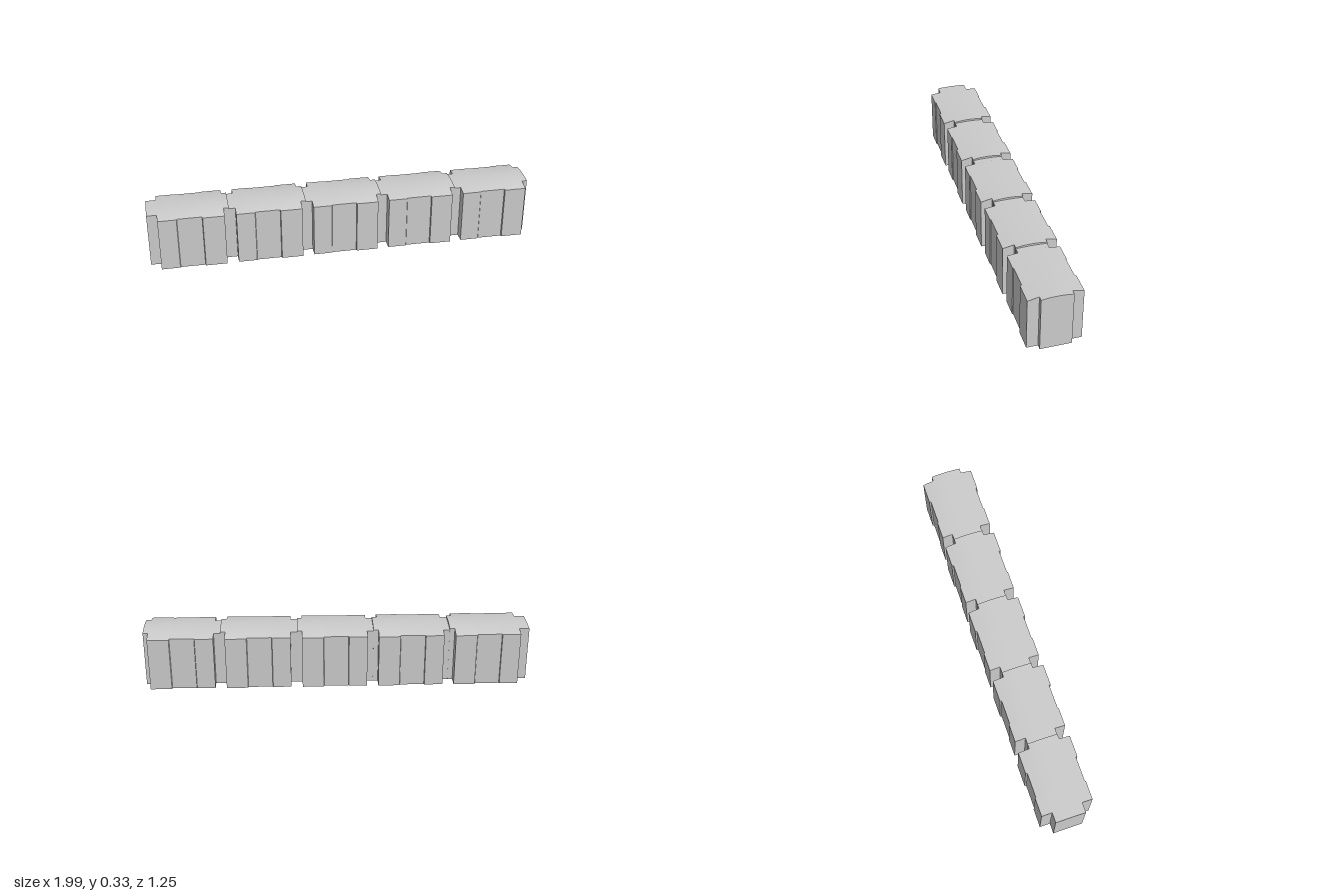
import * as THREE from 'three';

const SEGMENTS = 5, PITCH = 0.43, ACROSS = 10;

// [position along the wall, half width]: tab, stepped body, tab
const STATIONS = [
  [0, 0.085], [0.057, 0.085],
  [0.057, 0.144], [0.16, 0.144],
  [0.163, 0.139], [0.3, 0.139],
  [0.303, 0.148], [0.423, 0.148],
  [0.423, 0.086], [0.451, 0.086],
];

// Arched roof whose crown rises towards the far end
function roofHeight(s, t) {
  const crown = 0.01 + 0.012 * (s / 0.451);
  return 0.308 + crown * (1 - (t / 0.148) ** 2);
}

const roofPoint = (s, t) => [s, roofHeight(s, t), t];

// Smooth roof surface, one row of points per station
function roofGeometry() {
  const pos = [], idx = [], row = ACROSS + 1;
  STATIONS.forEach(([s, w], i) => {
    for (let j = 0; j <= ACROSS; j++) pos.push(...roofPoint(s, w * (2 * j / ACROSS - 1)));
    if (i === 0) return;
    for (let j = 0; j < ACROSS; j++) {
      const a = (i - 1) * row + j, b = i * row + j;
      idx.push(a, a + 1, b, b, a + 1, b + 1);
    }
  });
  const g = new THREE.BufferGeometry();
  g.setAttribute('position', new THREE.Float32BufferAttribute(pos, 3));
  g.setIndex(idx);
  g.computeVertexNormals();
  return g;
}

// Flat vertical walls dropped from the roof outline to the ground
function wallGeometry() {
  const outline = [];
  STATIONS.forEach(([s, w]) => outline.push([s, w]));
  const endCap = (s, w, dir) => {
    for (let j = 1; j < ACROSS; j++) outline.push([s, dir * w * (1 - 2 * j / ACROSS)]);
  };
  endCap(...STATIONS[STATIONS.length - 1], 1);
  [...STATIONS].reverse().forEach(([s, w]) => outline.push([s, -w]));
  endCap(...STATIONS[0], -1);

  const pos = [];
  outline.forEach(([s0, t0], i) => {
    const [s1, t1] = outline[(i + 1) % outline.length];
    const a = [s0, 0, t0], b = [s1, 0, t1];
    const c = roofPoint(s1, t1), d = roofPoint(s0, t0);
    pos.push(...a, ...b, ...c, ...a, ...c, ...d);
  });
  const g = new THREE.BufferGeometry();
  g.setAttribute('position', new THREE.Float32BufferAttribute(pos, 3));
  g.computeVertexNormals();
  return g;
}

export function createModel() {
  const material = new THREE.MeshStandardMaterial({ color: 0xcccccc, side: THREE.DoubleSide });
  const roof = roofGeometry(), walls = wallGeometry();
  const model = new THREE.Group();
  model.name = 'segmentedWall';

  // Diagonal row of interlocking segments, open underneath
  const row = new THREE.Group();
  row.name = 'wallRow';
  row.rotation.y = -THREE.MathUtils.degToRad(28.55);
  for (let i = 0; i < SEGMENTS; i++) {
    const segment = new THREE.Group();
    segment.name = `wallSegment${i + 1}`;
    segment.position.set(-1.097 + i * PITCH, 0, -0.012);
    const top = new THREE.Mesh(roof, material);
    top.name = 'roof';
    const sides = new THREE.Mesh(walls, material);
    sides.name = 'sideWalls';
    segment.add(top, sides);
    row.add(segment);
  }
  model.add(row);
  return model;
}
